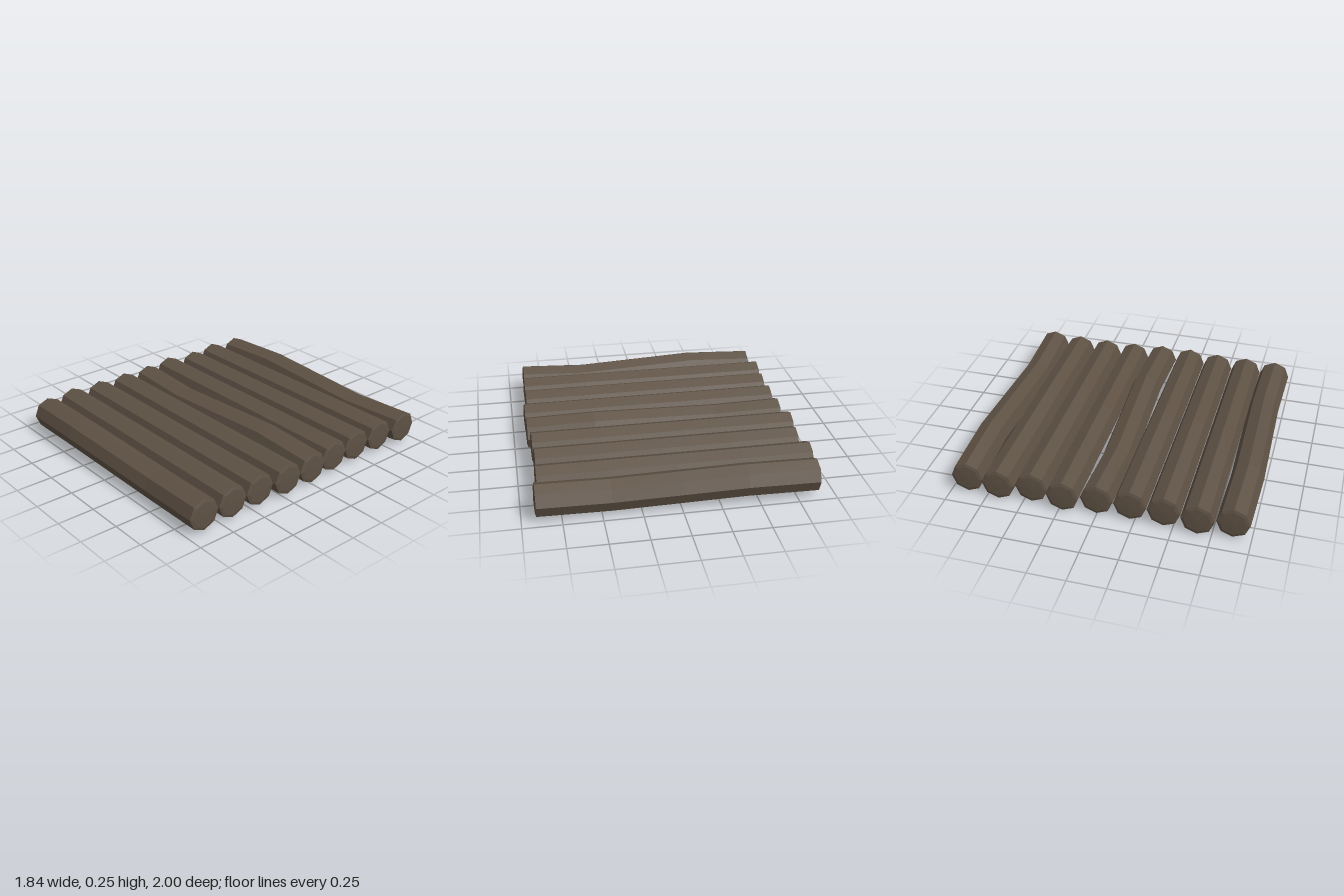
import * as THREE from 'three';

const RADIUS = 0.108;
const BASE_Y = 0.123;

// One eight-sided log lying along x from x0 to x1, with shallow domed ends.
// swayY and swayZ bend it one way on the -x half and the opposite way on the +x half.
function logGeometry(x0, x1, swayY, swayZ) {
  const half = (x1 - x0) / 2;
  const profile = [
    [0, -half - 0.01], [0.087, -half - 0.006], [RADIUS, -half],
    [RADIUS, -half * 0.48], [RADIUS, 0], [RADIUS, half * 0.48],
    [RADIUS, half], [0.087, half + 0.006], [0, half + 0.01],
  ].map(([r, y]) => new THREE.Vector2(r, y));

  const geometry = new THREE.LatheGeometry(profile, 8);
  geometry.rotateZ(-Math.PI / 2);

  // Shift the two quarter-point sections to bend the log
  const pos = geometry.attributes.position;
  for (let i = 0; i < pos.count; i++) {
    const t = pos.getX(i) / half;
    if (Math.abs(Math.abs(t) - 0.48) < 0.01) {
      const side = -Math.sign(t);
      pos.setY(i, pos.getY(i) + side * swayY);
      pos.setZ(i, pos.getZ(i) + side * swayZ);
    }
  }
  geometry.translate((x0 + x1) / 2, 0, 0);
  geometry.computeVertexNormals();
  return geometry;
}

export function createModel() {
  const group = new THREE.Group();
  group.name = 'logRaft';
  const wood = new THREE.MeshStandardMaterial({ color: 0x5e5144, flatShading: true });

  // Logs from back to front: left end, right end, sway in y, sway in z
  const logs = [
    [-0.886, 0.907, 0.015, -0.012],
    [-0.908, 0.886, 0, 0],
    [-0.88, 0.88, 0, 0],
    [-0.913, 0.886, 0, 0],
    [-0.886, 0.907, -0.015, 0.012],
    [-0.886, 0.91, 0, 0],
    [-0.89, 0.89, 0, 0],
    [-0.91, 0.89, 0, 0],
    [-0.88, 0.886, 0.015, 0.012],
  ];
  logs.forEach((spec, i) => {
    const log = new THREE.Mesh(logGeometry(...spec), wood);
    log.name = `log${i + 1}`;
    log.position.set(0, BASE_Y, (i - 4) * 0.22);
    group.add(log);
  });
  return group;
}
